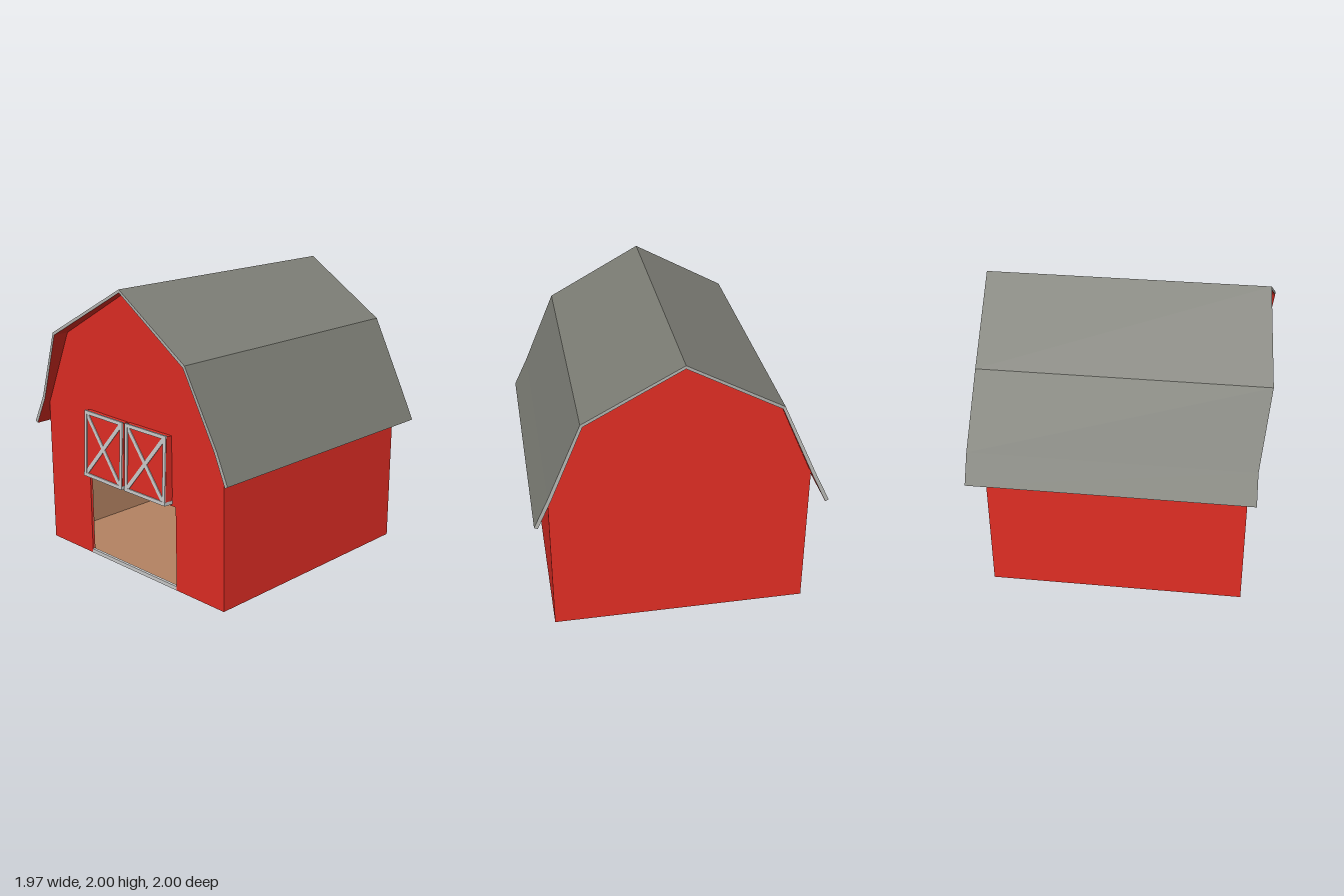
import * as THREE from 'three';

const material = (color, side = THREE.FrontSide) =>
  new THREE.MeshStandardMaterial({ color, side, flatShading: true });
const red = material(0xe02d24);
const redSheet = material(0xe02d24, THREE.DoubleSide);
const slate = material(0x7c7d75, THREE.DoubleSide);
const grey = material(0xcccccc);
const edgeGrey = material(0xb4b4b0, THREE.DoubleSide);
const tan = material(0xb48362);

const V = (x, y, z) => new THREE.Vector3(x, y, z);

function add(parent, name, geometry, mat, x = 0, y = 0, z = 0) {
  const mesh = new THREE.Mesh(geometry, mat);
  mesh.name = name;
  mesh.position.set(x, y, z);
  parent.add(mesh);
  return mesh;
}

const box = (parent, name, mat, w, h, d, x, y, z) =>
  add(parent, name, new THREE.BoxGeometry(w, h, d), mat, x, y, z);

// Ribbon of quads between two equally long rows of points
function ribbon(a, b) {
  const p = [];
  for (let i = 0; i + 1 < a.length; i++)
    for (const v of [a[i], b[i], b[i + 1], a[i], b[i + 1], a[i + 1]]) p.push(v.x, v.y, v.z);
  const g = new THREE.BufferGeometry();
  g.setAttribute('position', new THREE.Float32BufferAttribute(p, 3));
  g.computeVertexNormals();
  return g;
}

// Gambrel outline of the barn, optionally with a doorway cut from its foot
function gable(doorway, inset = 0) {
  const l = 0.88 - inset, r = -0.887 + inset, s = new THREE.Shape();
  s.moveTo(r, 0);
  if (doorway) {
    s.lineTo(-0.447, 0);
    s.lineTo(-0.447, 0.6);
    s.lineTo(0.437, 0.6);
    s.lineTo(0.437, 0);
  }
  s.lineTo(l, 0);
  s.lineTo(l, 1.07 - inset);
  s.lineTo(0.64 - inset, 1.605 - inset);
  s.lineTo(0, 1.978 - inset);
  s.lineTo(-0.643 + inset, 1.605 - inset);
  s.lineTo(r, 1.06 - inset);
  return s;
}

const slab = (shape, depth) => new THREE.ExtrudeGeometry(shape, { depth, bevelEnabled: false });

function makeRoof() {
  const roof = new THREE.Group();
  roof.name = 'roof';
  // Half section from ridge to eave: outer x, y, inner x, y, front z, back z
  const half = [
    [0, 2, 0, 1.978, 0.953, -0.993],
    [0.655, 1.62, 0.64, 1.604, 1, -0.947],
    [0.885, 1.11, 0.862, 1.1, 0.953, -0.982],
    [0.982, 0.905, 0.959, 0.893, 0.958, -0.987],
  ];
  // The right eave sits a touch lower and further back
  const mirrored = half.slice(1).reverse().map(([x, y, u, v, f, b], i) => {
    const skew = i < 2 ? 0.012 : 0;
    return [-x - 0.004, y - skew / 2, -u - 0.004, v - skew / 2, f - skew, b - skew];
  });
  const section = [...mirrored, ...half];
  const outerFront = section.map(([x, y, , , f]) => V(x, y, f));
  const outerBack = section.map(([x, y, , , , b]) => V(x, y, b));
  const innerFront = section.map(([, , u, v, f]) => V(u, v, f));
  const innerBack = section.map(([, , u, v, , b]) => V(u, v, b));
  add(roof, 'roofSurface', ribbon(outerBack, outerFront), slate);
  add(roof, 'roofUnderside', ribbon(innerFront, innerBack), redSheet);
  add(roof, 'frontRoofEdge', ribbon(outerFront, innerFront), edgeGrey);
  add(roof, 'backRoofEdge', ribbon(innerBack, outerBack), edgeGrey);
  const n = section.length - 1;
  add(roof, 'rightEaveEdge', ribbon([outerBack[0], outerFront[0]], [innerBack[0], innerFront[0]]), edgeGrey);
  add(roof, 'leftEaveEdge', ribbon([outerFront[n], outerBack[n]], [innerFront[n], innerBack[n]]), edgeGrey);
  return roof;
}

// Cross-braced shutter, its origin at the middle of the lower edge
function makeShutter(name) {
  const g = new THREE.Group();
  g.name = name;
  const w = 0.4, h = 0.478, bar = 0.025;
  box(g, 'shutterPanel', red, w + 0.004, h - 0.01, 0.06, 0, h / 2, -0.03);
  for (const s of [-1, 1]) {
    box(g, 'shutterStile', grey, bar, h, 0.014, s * (w - bar) / 2, h / 2, 0);
    const brace = box(g, 'shutterBrace', grey, 0.029, Math.hypot(w, h) - 0.05, 0.01, 0, h / 2, 0);
    brace.rotation.z = s * Math.atan2(w - bar, h - bar);
  }
  box(g, 'shutterTopRail', grey, w, bar, 0.014, 0, h - bar / 2, 0.001);
  box(g, 'shutterBottomRail', grey, w + 0.006, bar, 0.07, 0, bar / 2, -0.027);
  return g;
}

export function createModel() {
  const barn = new THREE.Group();
  barn.name = 'barn';

  // Outer walls and base
  add(barn, 'frontWall', slab(gable(true), 0.015), red, 0, 0, 0.87);
  add(barn, 'backWall', slab(gable(false), 0.015), red, 0, 0, -0.88);
  box(barn, 'leftWall', red, 0.012, 1.07, 1.75, 0.874, 0.535, -0.005);
  box(barn, 'rightWall', red, 0.012, 1.06, 1.75, -0.881, 0.53, -0.005);
  box(barn, 'base', red, 1.755, 0.01, 1.735, -0.0035, 0.005, 0.0025);

  // Inside lining, seen through the doorway
  add(barn, 'frontLining', slab(gable(true, 0.012), 0.006), tan, 0, 0, 0.864);
  add(barn, 'backLining', slab(gable(false, 0.012), 0.006), tan, 0, 0, -0.865);
  box(barn, 'leftLining', tan, 0.006, 1.04, 1.72, 0.865, 0.53, 0.0025);
  box(barn, 'rightLining', tan, 0.006, 1.04, 1.72, -0.872, 0.53, 0.0025);
  box(barn, 'floor', tan, 1.73, 0.006, 1.72, -0.0035, 0.013, 0.0025);
  box(barn, 'threshold', grey, 0.884, 0.028, 0.02, -0.005, 0.014, 0.876);

  // Pair of shutters leaning slightly outward above the doorway
  for (const s of [-1, 1]) {
    const shutter = makeShutter(s > 0 ? 'leftShutter' : 'rightShutter');
    shutter.position.set(-0.011 + s * 0.216, 0.618, 0.948);
    shutter.rotation.set(-0.04, 0, s * 0.006 - 0.006);
    barn.add(shutter);
  }

  barn.add(makeRoof());
  return barn;
}
